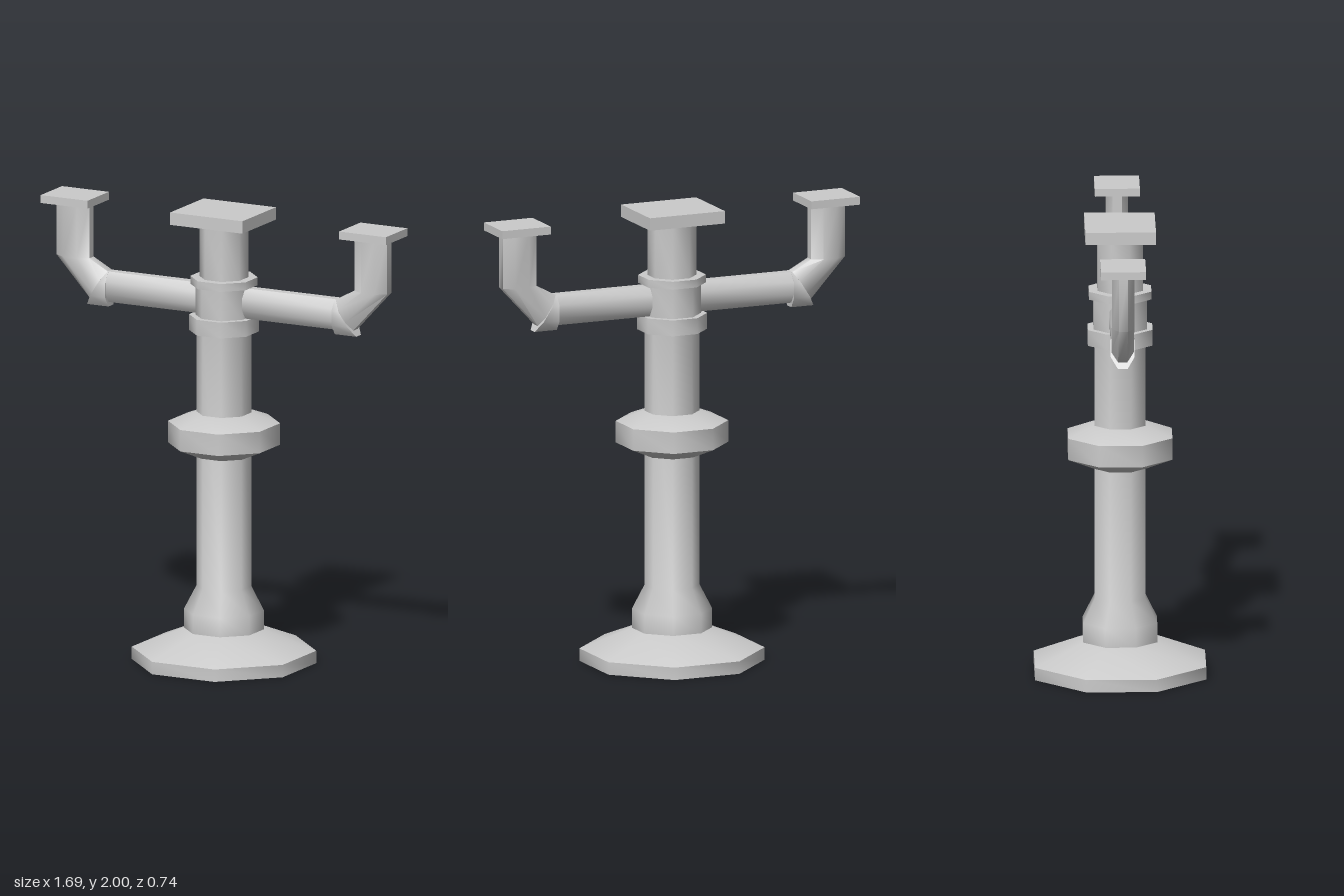
import * as THREE from 'three';
import { toCreasedNormals } from 'three/addons/utils/BufferGeometryUtils.js';

const SIDES = 8;
const K = 1 / Math.cos(Math.PI / SIDES); // flat-to-flat size -> corner radius
const material = new THREE.MeshStandardMaterial({ color: 0xcccccc });

function addMesh(parent, name, geometry) {
  const mesh = new THREE.Mesh(geometry, material);
  mesh.name = name;
  parent.add(mesh);
  return mesh;
}

// Octagonal turned part from [radius, y] pairs, flats facing the axes
function turned(profile) {
  const pts = profile.map(([r, y]) => new THREE.Vector2(r * K, y));
  return toCreasedNormals(new THREE.LatheGeometry(pts, SIDES, Math.PI / SIDES), 0.9);
}

// Closed octagonal pipe through rings [innerX, innerY, outerX, outerY, halfDepth]
function pipe(rings) {
  const pos = [], idx = [];
  for (const [ax, ay, bx, by, h] of rings) {
    for (let j = 0; j < SIDES; j++) {
      const t = (j + 0.5) * 2 * Math.PI / SIDES;
      const c = Math.cos(t) * K / 2;
      pos.push((ax + bx) / 2 + (bx - ax) * c, (ay + by) / 2 + (by - ay) * c, h * K * Math.sin(t));
    }
  }
  const last = (rings.length - 1) * SIDES;
  for (let i = 0; i < last; i += SIDES) {
    for (let j = 0; j < SIDES; j++) {
      const n = (j + 1) % SIDES;
      idx.push(i + j, i + SIDES + j, i + n, i + n, i + SIDES + j, i + SIDES + n);
    }
  }
  for (let j = 1; j < SIDES - 1; j++) {
    idx.push(0, j, j + 1, last, last + j + 1, last + j);
  }
  const g = new THREE.BufferGeometry();
  g.setAttribute('position', new THREE.Float32BufferAttribute(pos, 3));
  g.setIndex(idx);
  return toCreasedNormals(g, 0.9);
}

function createArm(name) {
  const arm = new THREE.Group();
  arm.name = name;
  addMesh(arm, 'armTube', pipe([
    [0.05, 1.67, 0.05, 1.535, 0.048],
    [0.56, 1.67, 0.56, 1.535, 0.048],
  ]));
  // Wedge-shaped joint under the bend
  addMesh(arm, 'elbowJoint', pipe([
    [0.555, 1.67, 0.555, 1.515, 0.052],
    [0.56, 1.67, 0.66, 1.515, 0.052],
  ]));
  // Bend and upright
  addMesh(arm, 'elbowPipe', pipe([
    [0.56, 1.67, 0.645, 1.54, 0.048],
    [0.65, 1.718, 0.81, 1.718, 0.048],
    [0.65, 1.96, 0.81, 1.96, 0.048],
  ]));
  addMesh(arm, 'armPlate', new THREE.BoxGeometry(0.23, 0.035, 0.195)).position.set(0.732, 1.975, 0);
  return arm;
}

export function createModel() {
  const model = new THREE.Group();
  model.name = 'candelabra';

  // Foot
  addMesh(model, 'foot', turned([[0, 0], [0.37, 0], [0.37, 0.055], [0.16, 0.145], [0, 0.145]]));

  // Column with flared socket
  addMesh(model, 'column', turned([
    [0.16, 0.14], [0.16, 0.23], [0.11, 0.335], [0.11, 1.48],
  ]));
  addMesh(model, 'knop', turned([
    [0.1, 0.915], [0.115, 0.915], [0.225, 0.965], [0.225, 1.06], [0.115, 1.105], [0.1, 1.105],
  ]));

  // Hub holding the arms, between two collars
  addMesh(model, 'hub', turned([[0.115, 1.53], [0.115, 1.675]]));
  for (const [name, r, y0, y1] of [['lowerCollar', 0.14, 1.465, 1.535], ['upperCollar', 0.135, 1.67, 1.705]]) {
    addMesh(model, name, turned([[0, y0], [r, y0], [r, y1], [0, y1]]));
  }

  // Central holder and its plate
  addMesh(model, 'centreHolder', turned([[0.098, 1.7], [0.098, 1.95]]));
  addMesh(model, 'centrePlate', new THREE.BoxGeometry(0.355, 0.055, 0.305)).position.set(-0.005, 1.9725, 0);

  // Two arms, the second turned half round
  model.add(createArm('leftArm'));
  const right = createArm('rightArm');
  right.rotation.y = Math.PI;
  model.add(right);

  return model;
}
